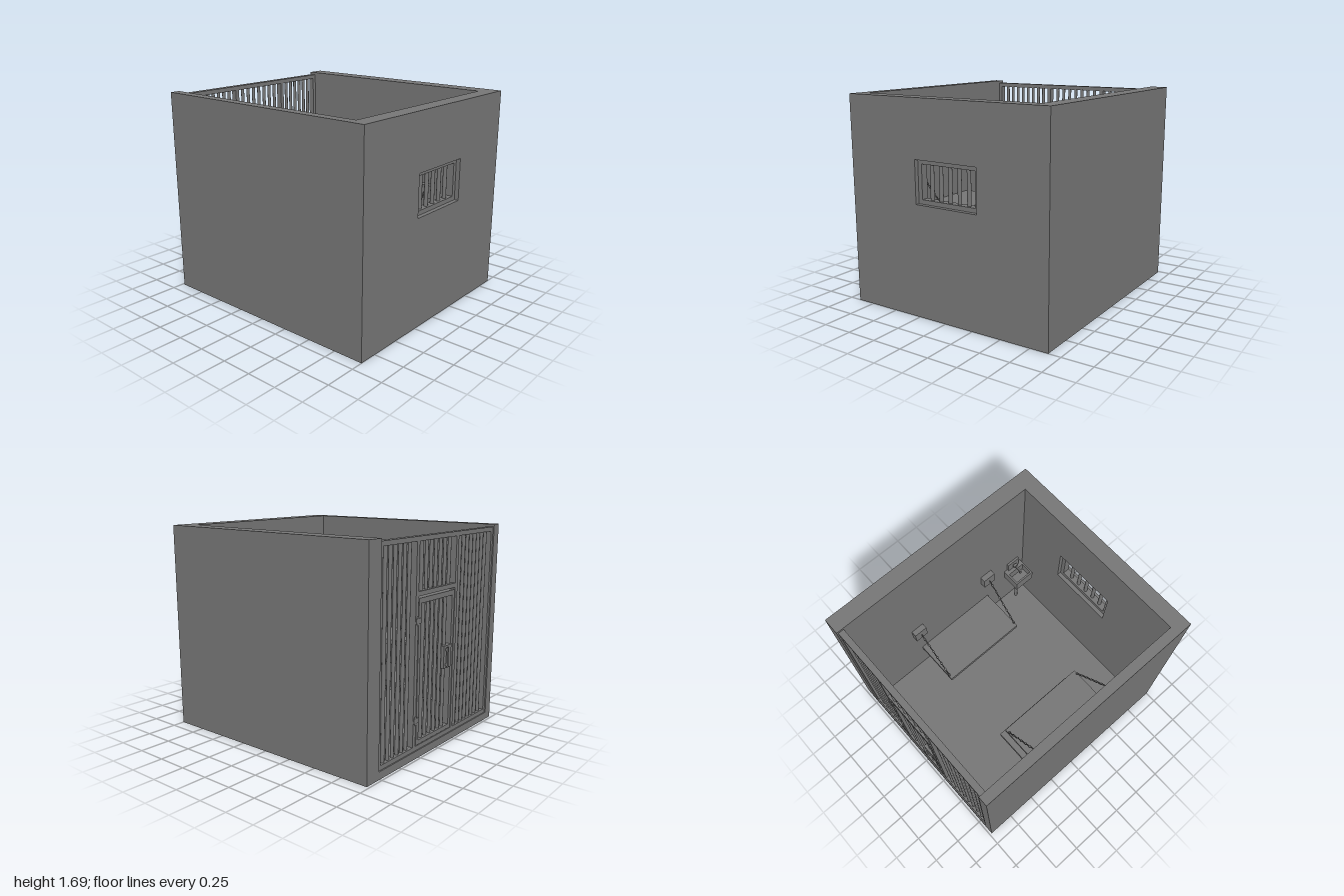
import * as THREE from 'three';

const grey = new THREE.MeshStandardMaterial({ color: 0x767676 });
grey.name = 'concrete and steel grey';

// Inner faces of the cell
const L = 0.76, R = -0.82, FLOOR = 0.06, TOP = 1.69, FRONT = 0.87, BACK = -0.98;

function add(parent, name, geometry) {
  const mesh = new THREE.Mesh(geometry, grey);
  mesh.name = name;
  parent.add(mesh);
  return mesh;
}

// Box given by its limits on each axis
function box(parent, name, x0, x1, y0, y1, z0, z1) {
  const mesh = add(parent, name, new THREE.BoxGeometry(x1 - x0, y1 - y0, z1 - z0));
  mesh.position.set((x0 + x1) / 2, (y0 + y1) / 2, (z0 + z1) / 2);
  return mesh;
}

function rectangle(path, x0, x1, y0, y1) {
  return path.moveTo(x0, y0).lineTo(x1, y0).lineTo(x1, y1).lineTo(x0, y1).closePath();
}

// Rectangular plate with a rectangular opening, facing z
function openPlate(parent, name, outer, inner, z0, z1) {
  const shape = rectangle(new THREE.Shape(), ...outer);
  shape.holes.push(rectangle(new THREE.Path(), ...inner));
  const mesh = add(parent, name, new THREE.ExtrudeGeometry(shape, { depth: z1 - z0, bevelEnabled: false }));
  mesh.position.z = z0;
  return mesh;
}

// Evenly spaced upright bars between two x limits
function bars(parent, name, x0, x1, count, y0, y1, z, radius) {
  for (let i = 1; i <= count; i++) {
    const bar = add(parent, name, new THREE.CylinderGeometry(radius, radius, y1 - y0, 10));
    bar.position.set(x0 + (x1 - x0) * i / (count + 1), (y0 + y1) / 2, z);
  }
}

function group(parent, name) {
  const g = new THREE.Group();
  g.name = name;
  parent.add(g);
  return g;
}

// Slanting chain of alternating links
function chain(parent, from, to) {
  const g = group(parent, 'bunkChain');
  const dir = to.clone().sub(from);
  const count = 14, pitch = dir.length() / count;
  for (let i = 0; i < count; i++) {
    const link = add(g, 'chainLink', new THREE.TorusGeometry(0.011, 0.0035, 5, 10));
    link.geometry.scale(0.75, pitch * 0.055 / 0.0011 * 0.75, 1);
    link.geometry.rotateY(i % 2 ? Math.PI / 2 : 0);
    link.position.copy(from).addScaledVector(dir, (i + 0.5) / count);
    link.quaternion.setFromUnitVectors(new THREE.Vector3(0, 1, 0), dir.clone().normalize());
  }
}

// Bunk hung from a side wall; side is the direction of that wall
function hungBunk(parent, name, wall, side, y) {
  const g = group(parent, name);
  const xs = (a, b) => [wall - side * a, wall - side * b].sort((p, q) => p - q);
  box(g, 'bunkBoard', ...xs(0, 0.42), y - 0.04, y, -0.37, 0.43);
  for (const z of [-0.363, 0.425]) {
    box(g, 'chainMount', ...xs(0, 0.05), y + 0.32, y + 0.44, z - 0.06, z + 0.06);
    chain(g, new THREE.Vector3(wall - side * 0.05, y + 0.38, z),
      new THREE.Vector3(wall - side * 0.39, y, z));
  }
}

export function createModel() {
  const cell = new THREE.Group();
  cell.name = 'prisonCell';

  // Shell
  box(cell, 'floor', R, L, 0, FLOOR, BACK, FRONT);
  box(cell, 'rightWall', -0.9, R, 0, TOP, BACK, FRONT);
  box(cell, 'leftWall', L, 0.9, 0, TOP, BACK, FRONT);
  openPlate(cell, 'frontWall', [-0.9, 0.9, 0, TOP], [-0.255, 0.305, 0.895, 1.235], FRONT, 1);

  // Barred window
  const win = group(cell, 'window');
  openPlate(win, 'windowFrame', [-0.255, 0.305, 0.895, 1.235], [-0.22, 0.27, 0.93, 1.2], 0.905, 0.965);
  bars(win, 'windowBar', -0.23, 0.28, 5, 0.93, 1.2, 0.935, 0.016);

  // Back grille
  const grille = group(cell, 'grille');
  const z0 = -0.97, z1 = -0.92, zm = -0.945, y0 = FLOOR, y1 = 1.67;
  openPlate(grille, 'grilleFrame', [R, L, y0, y1], [R + 0.03, L - 0.03, y0 + 0.035, y1 - 0.035], z0, z1);
  box(grille, 'hingePost', 0.285, 0.32, y0 + 0.035, y1 - 0.035, z0, z1);
  box(grille, 'latchPost', -0.265, -0.23, y0 + 0.035, y1 - 0.035, z0, z1);
  box(grille, 'lintel', -0.23, 0.285, 1.24, 1.275, z0, z1);
  bars(grille, 'grilleBar', 0.32, L - 0.03, 6, y0 + 0.035, y1 - 0.035, zm, 0.014);
  bars(grille, 'grilleBar', R + 0.03, -0.265, 8, y0 + 0.035, y1 - 0.035, zm, 0.014);
  bars(grille, 'upperBar', -0.23, 0.285, 7, 1.275, y1 - 0.035, zm, 0.014);

  // Door
  const door = group(cell, 'door');
  openPlate(door, 'doorFrame', [-0.222, 0.277, 0.1, 1.225], [-0.19, 0.245, 0.135, 1.185], z0, z1);
  bars(door, 'doorBar', -0.19, 0.245, 6, 0.135, 1.185, zm, 0.014);
  box(door, 'lockPlate', -0.19, -0.08, 0.62, 0.8, -0.978, -0.915);
  box(door, 'handle', -0.12, -0.1, 0.63, 0.79, -1, -0.988);
  for (const y of [0.65, 0.77]) box(door, 'handleStem', -0.118, -0.102, y - 0.01, y + 0.01, -0.99, -0.977);
  for (const y of [0.3, 1.06]) {
    const hinge = add(door, 'hinge', new THREE.CylinderGeometry(0.013, 0.013, 0.07, 10));
    hinge.position.set(0.29, y, -0.965);
    box(door, 'hingeLeaf', 0.25, 0.318, y - 0.02, y + 0.02, -0.976, -0.968);
  }

  // Bunks
  hungBunk(cell, 'leftBunk', L, 1, 0.38);
  hungBunk(cell, 'rightUpperBunk', R, -1, 0.68);
  box(cell, 'rightLowerBunk', R, -0.33, 0.28, 0.33, -0.37, 0.43);

  // Wall sink
  const sink = group(cell, 'sink');
  const bowl = rectangle(new THREE.Shape(), 0.585, L, -0.84, -0.645);
  bowl.holes.push(rectangle(new THREE.Path(), 0.602, 0.708, -0.825, -0.66));
  const rim = add(sink, 'basin', new THREE.ExtrudeGeometry(bowl, { depth: 0.09, bevelEnabled: false }));
  rim.rotation.x = -Math.PI / 2;
  rim.position.y = 0.49;
  box(sink, 'basinBottom', 0.585, L, 0.47, 0.49, 0.645, 0.84);
  box(sink, 'splashBack', 0.74, L, 0.58, 0.68, 0.68, 0.805);
  box(sink, 'spout', 0.64, 0.74, 0.625, 0.64, 0.735, 0.75);
  box(sink, 'spoutTip', 0.64, 0.655, 0.6, 0.625, 0.735, 0.75);
  box(sink, 'tap', 0.705, 0.725, 0.64, 0.66, 0.72, 0.765);
  const drain = add(sink, 'drainPipe', new THREE.CylinderGeometry(0.015, 0.015, 0.41, 10));
  drain.position.set(0.7, 0.265, 0.743);

  return cell;
}
